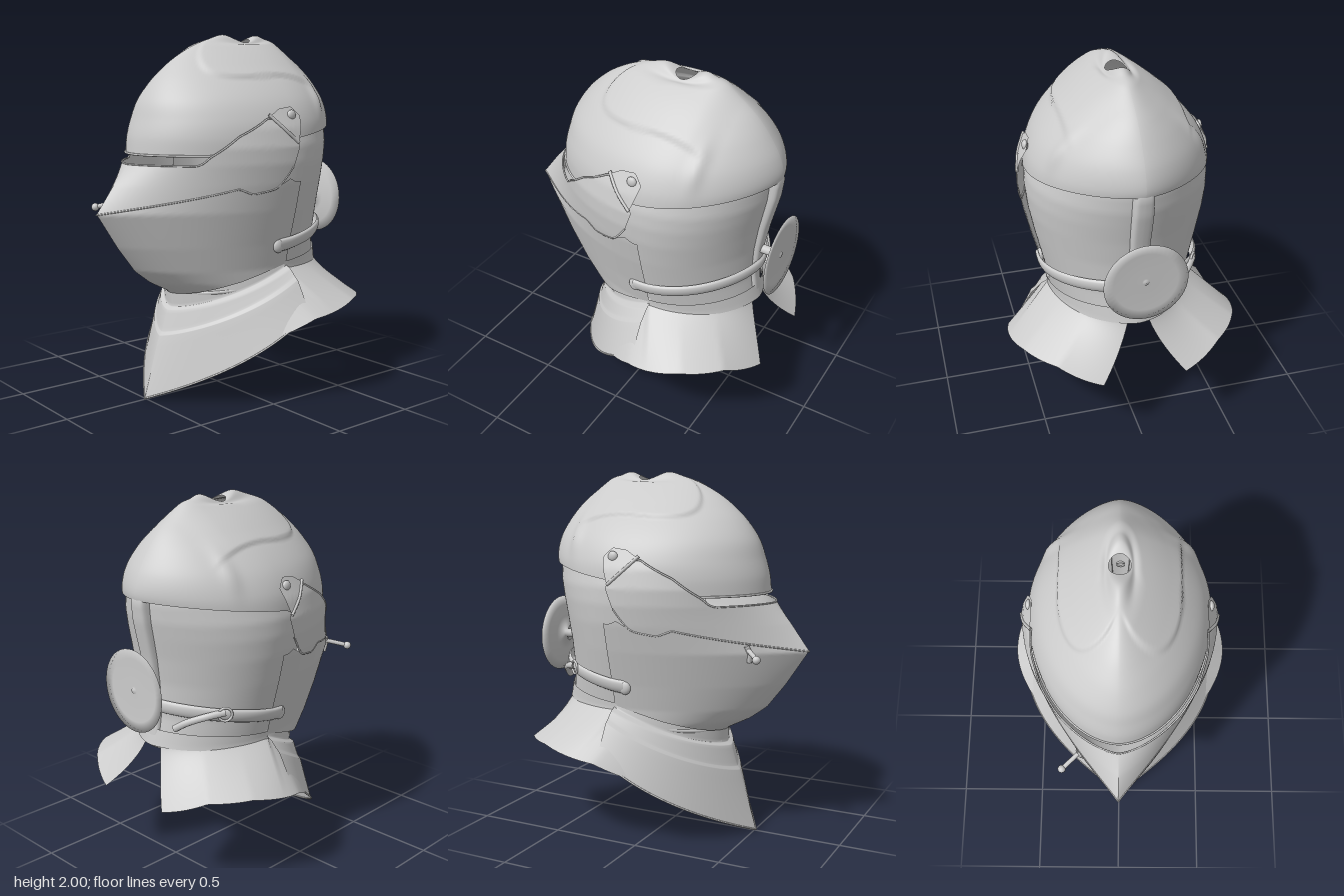
import * as THREE from 'three';

const ZC = -0.165; // z of the vertical axis every cross-section is built around
const mat = new THREE.MeshStandardMaterial({ color: 0xcccccc, side: THREE.DoubleSide });
const lerp = THREE.MathUtils.lerp, smooth = THREE.MathUtils.smoothstep, PI = Math.PI;
const V = (x, y, z) => new THREE.Vector3(x, y, z);

// Cross-sections of the face and neck: [y, front z, back z, half width, front point, back point]
const FACE = [
  [0.56, 0.31, -0.68, 0.385, 1.3, 1.2], [0.585, 0.335, -0.675, 0.385, 1.3, 1.2],
  [0.65, 0.46, -0.66, 0.383, 1.45, 1.2], [0.725, 0.56, -0.65, 0.388, 1.6, 1.2],
  [0.865, 0.668, -0.635, 0.42, 1.8, 1.2], [1.055, 0.792, -0.65, 0.47, 2.1, 1.2],
  [1.2, 0.685, -0.675, 0.503, 1.72, 1.2], [1.31, 0.59, -0.7, 0.518, 1.3, 1.2],
  [1.4, 0.57, -0.72, 0.518, 1.2, 1.2], [1.5, 0.54, -0.73, 0.495, 1.15, 1.2],
  [1.62, 0.5, -0.7, 0.437, 1.1, 1.2],
];
// Cross-sections of the skull up to the rim of the crest hole, the last number lifting front and back
const SKULL = [
  [1.36, 0.56, -0.67, 0.485, 1.1, 1.2, 0], [1.45, 0.55, -0.71, 0.487, 1.1, 1.25, 0],
  [1.54, 0.525, -0.735, 0.47, 1.1, 1.3, 0], [1.64, 0.49, -0.71, 0.422, 1.1, 1.25, 0],
  [1.74, 0.425, -0.65, 0.34, 1.15, 1.2, 0], [1.82, 0.345, -0.585, 0.25, 1.15, 1.2, 0],
  [1.88, 0.265, -0.515, 0.175, 1.15, 1.2, 0], [1.928, 0.16, -0.43, 0.105, 1.1, 1.1, 0.008],
  [1.945, 0.05, -0.35, 0.072, 1, 1, 0.03], [1.954, -0.04, -0.28, 0.06, 1, 1, 0.044],
  [1.955, -0.11, -0.22, 0.055, 1, 1, 0.02],
];

// Point on a section at angle t (0 front, PI/2 left, PI back), pushed out by off
function onSection([y, zf, zb, w, ef, eb, lift = 0], t, off = 0) {
  const c = Math.cos(t), s = Math.sin(t);
  const x = Math.sign(s) * Math.pow(Math.abs(s), c > 0 ? ef : eb) * (w + off);
  return V(x, y + lift * c * c, ZC + c * (c > 0 ? zf - ZC + off : ZC - zb + off));
}
function sectionAt(y) {
  let i = 0;
  while (i < FACE.length - 2 && FACE[i + 1][0] < y) i++;
  const a = FACE[i], b = FACE[i + 1], f = (y - a[0]) / (b[0] - a[0]);
  return a.map((p, k) => lerp(p, b[k], f));
}
const face = (t, y, off) => onSection(sectionAt(y), t, off);

// Smooth interpolation through a list of rows
function spline(rows, f) {
  const n = rows.length - 1, i = Math.min(Math.floor(f * n), n - 1), u = f * n - i;
  const [a, b, c, d] = [-1, 0, 1, 2].map(k => rows[Math.min(Math.max(i + k, 0), n)]);
  return b.map((p, k) => p + 0.5 * u * (c[k] - a[k] + u * (2 * a[k] - 5 * p + 4 * c[k] - d[k]
    + u * (3 * (p - c[k]) + d[k] - a[k]))));
}
// Plate edge drawn as [z, y] points seen from the side, front to back; gives y for an angle
const cosAt = (z, y) => {
  const s = sectionAt(y);
  return THREE.MathUtils.clamp((z - ZC) / (z > ZC ? s[1] - ZC : ZC - s[2]), -1, 1);
};
const angleAt = (z, y) => Math.acos(cosAt(z, y));
function edge(pts) {
  const p = pts.map(([z, y]) => [cosAt(z, y), y]);
  return t => {
    const c = Math.cos(t);
    if (c >= p[0][0]) return p[0][1];
    for (let i = 1; i < p.length; i++)
      if (c >= p[i][0]) return lerp(p[i - 1][1], p[i][1], (p[i - 1][0] - c) / (p[i - 1][0] - p[i][0] || 1));
    return p[p.length - 1][1];
  };
}
// Sheet with points given by fn(u, v)
function sheet(fn, nu, nv) {
  const g = new THREE.PlaneGeometry(1, 1, nu, nv), uv = g.attributes.uv, pos = g.attributes.position;
  for (let i = 0; i < pos.count; i++) {
    const p = fn(uv.getX(i), uv.getY(i));
    pos.setXYZ(i, p.x, p.y, p.z);
  }
  g.computeVertexNormals();
  return g;
}
// Plate lying on the face surface between two edges and two angles
const plate = (bot, top, a, b, off = () => 0, nu = 128, nv = 20) => sheet((u, v) => {
  const t = lerp(a, b, u);
  return face(t, lerp(bot(t), top(t), v), off(v, u));
}, nu, nv);
const tube = (pts, r, n = 64) => new THREE.TubeGeometry(new THREE.CatmullRomCurve3(pts), n, r, 8);
const sweep = (fn, a, b, n = 60) => Array.from({ length: n + 1 }, (_, i) => fn(lerp(a, b, i / n)));

export function createModel() {
  const model = new THREE.Group();
  const add = (name, geo) => {
    const m = new THREE.Mesh(geo, mat);
    m.name = name;
    model.add(m);
    return m;
  };

  // Skull with raised lobes either side of the comb and small points behind them
  add('skull', sheet((u, v) => {
    const t = PI * (2 * u - 1), c = Math.cos(t);
    const low = 0.09 * smooth(-c, -0.3, 0) + 0.08 * Math.max(0, -c);
    const p = onSection(spline(SKULL, lerp(low, 1, v)), t);
    const ax = Math.abs(p.x), dz = Math.max(0, p.z + 0.1) / 0.32;
    const d = ((ax - 0.16) / (ax < 0.16 ? 0.18 : 0.15)) ** 2 + dz * dz;
    const lobe = (1 - smooth(d, 0.88, 1.1)) * smooth(p.z, -0.5, -0.33) * (1 - smooth(v, 0.66, 0.8));
    const point = Math.exp(-(((p.z + 0.42) / 0.035) ** 2) - ((p.y - 1.65) / 0.09) ** 2);
    const out = V(p.x, p.y - 1.4, p.z - ZC).normalize();
    return p.addScaledVector(out, 0.014 * lobe + 0.016 * point);
  }, 160, 90));
  add('browRim', tube(sweep(t => onSection(SKULL[0], t, 0.002), -1.3, 1.3), 0.006, 100));

  // Visor with its rolled sight edge
  const visorTop = edge([[0.59, 1.31], [0.37, 1.31], [0.34, 1.345], [0.19, 1.46], [0, 1.56], [-0.15, 1.41]]);
  const visorLow = edge([[0.792, 1.055], [0.19, 1.185], [0.11, 1.155], [-0.01, 1.175], [-0.1, 1.27], [-0.15, 1.4]]);
  const visorEnd = angleAt(-0.15, 1.4);
  add('visor', plate(visorLow, visorTop, -visorEnd, visorEnd, () => 0.008, 200, 24));
  add('visorTopRim', tube(sweep(t => face(t, visorTop(t), 0.008), -1.5, 1.5), 0.005, 160));
  add('visorLowerRim', tube(sweep(t => face(t, visorLow(t), 0.006), -1.5, 1.5), 0.005, 160));

  // Lower face plate
  const bevorTop = edge([[0.792, 1.055], [0.19, 1.185], [0.11, 1.155], [-0.01, 1.18], [-0.1, 1.23], [-0.14, 1.21]]);
  const bevorLow = edge([[0.335, 0.575], [0.1, 0.66], [-0.17, 0.74]]);
  const bevorEnd = angleAt(-0.175, 1);
  add('bevor', plate(bevorLow, bevorTop, -bevorEnd, bevorEnd, () => 0.003, 160, 40));

  // Nape plate tucked under the skull, tail strip and collar
  const level = y => () => y;
  const napeTop = edge([[-0.1, 1.45], [-0.17, 1.47], [-0.64, 1.55], [-0.72, 1.55]]);
  add('napePlate', plate(level(0.7), napeTop, 1.4, 2 * PI - 1.4, v => -0.006 - 0.03 * v, 128, 40));
  add('tailStrip', plate(level(0.72), level(1.58), PI - 0.17, PI + 0.17,
    (v, u) => -0.035 + 0.041 * (1 - (2 * u - 1) ** 8), 24, 40));
  const collarLow = edge([[-0.1, 0.69], [-0.65, 0.71]]), collarTop = edge([[-0.1, 0.75], [-0.65, 0.8]]);
  add('collar', plate(collarLow, collarTop, 1.57, 2 * PI - 1.57, v => 0.012 - 0.01 * v, 96, 6));

  // Front gorget lames: [front z, front y, half width, side y, point]
  const lames = [[0.33, 0.6, 0.385, 0.77, 1.3], [0.325, 0.5, 0.395, 0.73, 1.3], [0.355, 0.48, 0.43, 0.715, 1.4],
    [0.39, 0.365, 0.465, 0.68, 1.5], [0.41, 0.34, 0.49, 0.66, 1.6], [0.51, 0, 0.583, 0.5, 2]];
  const gorget = (t, v) => {
    const f = v * 5, i = Math.min(Math.floor(f), 4), c = Math.cos(t);
    const [zf, yf, w, ys, e] = lames[i].map((p, k) => lerp(p, lames[i + 1][k], f - i));
    return V(Math.sign(t) * Math.abs(Math.sin(t)) ** e * w, lerp(ys, yf, c), lerp(-0.18, zf, c));
  };
  add('frontGorget', sheet((u, v) => gorget((u - 0.5) * PI, 1 - v), 96, 30));
  add('frontGorgetRim', tube(sweep(t => gorget(t, 1), -PI / 2, PI / 2), 0.005, 100));

  // Flared neck guard in two halves, open in a V at the back and at the front under the gorget
  const hem = [[0.42, 0.17], [0.14, 0.31], [-0.18, 0.47], [-0.5, 0.53], [-0.68, 0.52], [-0.8, 0.435]];
  const hemY = z => {
    let i = 0;
    while (i < 4 && z < hem[i + 1][0]) i++;
    return lerp(hem[i][1], hem[i + 1][1], (hem[i][0] - z) / (hem[i][0] - hem[i + 1][0]));
  };
  for (const s of [1, -1]) {
    add(s > 0 ? 'leftNeckGuard' : 'rightNeckGuard', sheet((u, v) => {
      const d = 1 - v, t = lerp(lerp(0.2, 0.38, d), PI - lerp(0.2, 0.36, d), s > 0 ? u : 1 - u);
      const c = Math.cos(t), k = Math.sin(t), topY = lerp(0.72, 0.57, Math.max(0, c));
      const top = face(t, topY, c > 0 ? -0.012 : 0.002);
      if (c > 0) top.z = ZC + c * 0.475;
      const z = -0.3 + c * (c > 0 ? 0.73 : 0.53), out = d ** lerp(1, 1.3, Math.max(0, -c));
      const x = 0.65 * (c > 0 ? k ** 2.1 : k);
      return V(s * lerp(top.x, x, out), lerp(topY, hemY(z), d), lerp(top.z, z, out));
    }, 80, 20));
  }
  // Rolled edge round the neck opening
  add('neckRoll', tube(sweep(t => face(t, lerp(0.7, 0.58, (1 + Math.cos(t)) / 2), -0.022), -PI, PI), 0.012, 120));

  // Neck strap with rounded ends and a loose tongue
  const strapLow = edge([[-0.08, 0.813], [-0.67, 0.902]]), strapTop = edge([[-0.08, 0.89], [-0.67, 0.978]]);
  const a = angleAt(-0.1, 0.85);
  add('neckStrap', plate(strapLow, strapTop, a, 2 * PI - a, v => 0.004 + 0.02 * Math.sqrt(1 - (2 * v - 1) ** 2), 128, 12));
  for (const s of [1, -1]) {
    const end = add('strapEnd', new THREE.SphereGeometry(1, 20, 12));
    end.position.copy(face(s * a, 0.852, 0.002));
    end.scale.set(0.021, 0.04, 0.036);
  }
  add('strapTongue', tube([face(PI + 0.95, 0.93, 0.02), face(PI + 0.75, 0.91, 0.035),
    face(PI + 0.55, 0.87, 0.035), face(PI + 0.42, 0.83, 0.025)], 0.02, 24));
  const buckle = add('strapBuckle', new THREE.TorusGeometry(0.036, 0.007, 8, 24));
  buckle.position.copy(face(PI + 0.95, 0.92, 0.025));
  buckle.rotation.y = 0.95;

  // Hinge arms, pins and rivets of the visor
  const armTop = edge([[0, 1.565], [-0.06, 1.6], [-0.14, 1.61], [-0.185, 1.56]]);
  const armLow = edge([[0, 1.555], [-0.14, 1.42], [-0.185, 1.555]]);
  const h0 = angleAt(0, 1.56), h1 = angleAt(-0.185, 1.56);
  for (const s of [1, -1]) {
    add('hingeArm', plate(armLow, armTop, s > 0 ? h0 : -h1, s > 0 ? h1 : -h0, () => 0.015, 24, 8));
    const pin = [[0.01, 1.57], [-0.06, 1.495], [-0.14, 1.42]].map(([z, y]) => face(s * angleAt(z, y), y, 0.014));
    add('hingePin', tube(pin, 0.009, 12));
    const rivet = add('hingeRivet', new THREE.SphereGeometry(0.028, 20, 12));
    rivet.position.copy(face(s * angleAt(-0.13, 1.565), 1.565, 0.013));
    rivet.scale.x = 0.6;
  }

  // Dished rondel on a stem at the nape
  const profile = [[0.025, 0.62], [0.025, 0.735], [0.1, 0.741], [0.17, 0.752], [0.223, 0.767], [0.17, 0.764], [0.02, 0.76],
    [0.015, 0.766], [0, 0.768]];
  const rondel = add('rondel', new THREE.LatheGeometry(profile.map(p => new THREE.Vector2(...p)), 48));
  rondel.rotation.x = -PI / 2;
  rondel.position.y = 1.04;

  // Lifting peg and latch on the right of the visor
  add('liftingPeg', tube([V(-0.19, 1.085, 0.51), V(-0.25, 1.067, 0.565), V(-0.305, 1.05, 0.615)], 0.013, 12));
  const knob = add('pegKnob', new THREE.SphereGeometry(0.022, 16, 12));
  knob.position.set(-0.31, 1.048, 0.618);
  add('latch', tube([V(-0.22, 1.1, 0.525), V(-0.21, 1.06, 0.54), V(-0.2, 1.01, 0.535)], 0.014, 12));

  return model;
}
